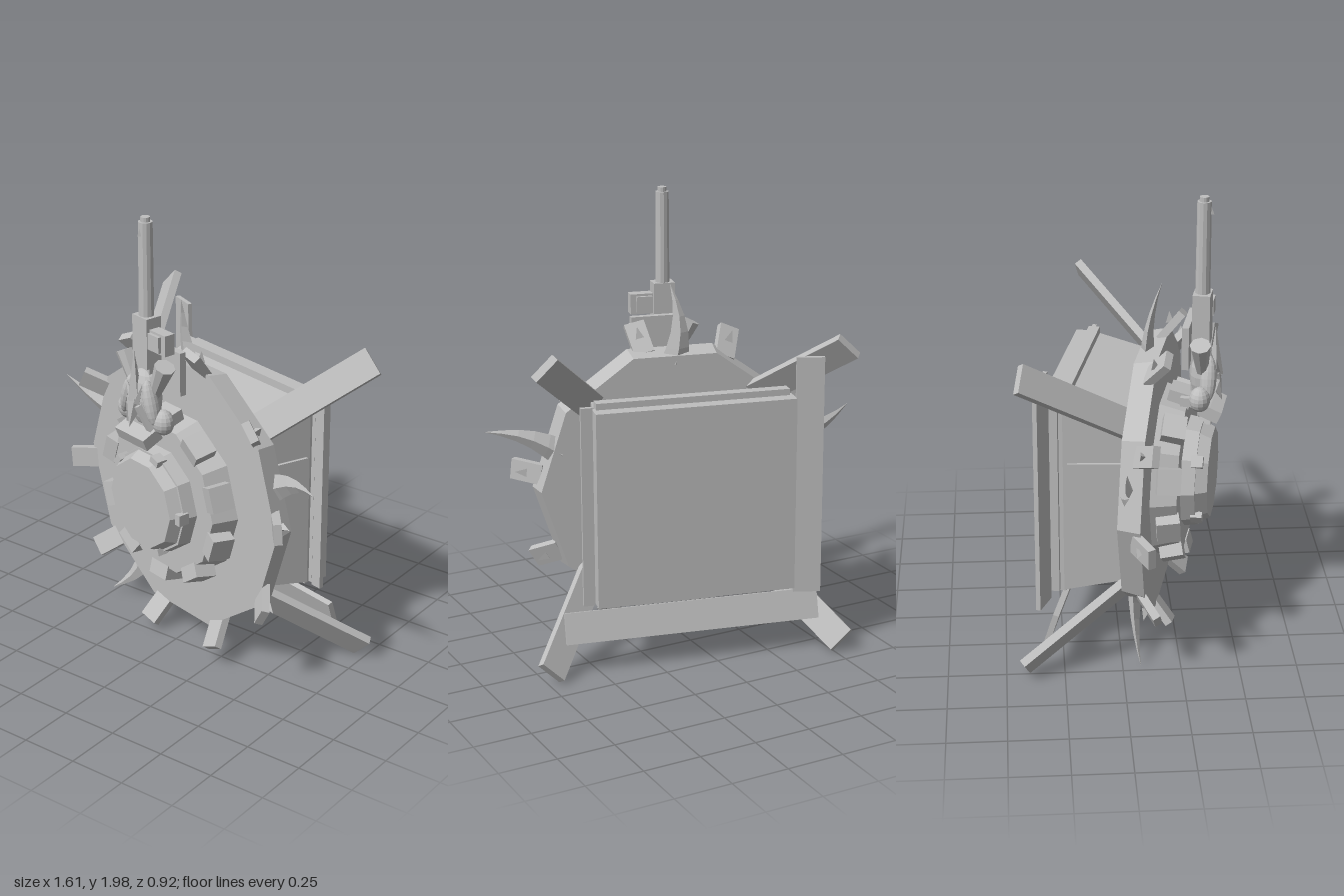
import * as THREE from 'three';

const grey = new THREE.MeshStandardMaterial({ color: 0xbebebe, flatShading: true });
grey.name = 'plainGrey';

function add(parent, name, geometry, x = 0, y = 0, z = 0, rx = 0, ry = 0, rz = 0) {
  const m = new THREE.Mesh(geometry, grey);
  m.name = name;
  m.position.set(x, y, z);
  m.rotation.set(rx, ry, rz);
  parent.add(m);
  return m;
}
const box = (w, h, d) => new THREE.BoxGeometry(w, h, d);

// Ten-sided drum lying along z, from z0 (radius r0) to z1 (radius r1)
function drum(r0, r1, z0, z1, sides = 10) {
  return new THREE.CylinderGeometry(r1, r0, z1 - z0, sides)
    .rotateY(Math.PI / sides).rotateX(Math.PI / 2).translate(0, 0, (z0 + z1) / 2);
}

// Frame at an angle around the disc; +x points outward
function spoke(parent, name, degrees) {
  const g = new THREE.Group();
  g.name = name;
  g.rotation.z = THREE.MathUtils.degToRad(degrees);
  parent.add(g);
  return g;
}

// Four-sided spike along x, curving towards +z at its tip
function spikeGeometry() {
  const g = new THREE.ConeGeometry(0.065, 0.34, 4, 5).rotateZ(-Math.PI / 2).scale(1, 1, 0.5);
  const p = g.attributes.position;
  for (let i = 0; i < p.count; i++) {
    const t = (p.getX(i) + 0.17) / 0.34;
    p.setZ(i, p.getZ(i) + 0.06 * t * t);
    p.setY(i, p.getY(i) + 0.03 * Math.sin(t * Math.PI));
  }
  return g.translate(0.7, 0, 0.13);
}

// Flat bar whose length runs from a to b and whose width lies across the diagonal
function diagonalBar(parent, sx, sy) {
  const a = new THREE.Vector3(sx * 0.36, sy * 0.36, 0.13);
  const b = new THREE.Vector3(sx * 0.65, sy * 0.67, -0.29);
  const along = b.clone().sub(a);
  const length = along.length();
  along.normalize();
  const across = new THREE.Vector3(-sy, sx, 0).normalize();
  across.addScaledVector(along, -across.dot(along)).normalize();
  const m = add(parent, 'diagonalBar', box(length, 0.125, 0.035));
  m.quaternion.setFromRotationMatrix(new THREE.Matrix4().makeBasis(
    along, across, new THREE.Vector3().crossVectors(along, across)));
  m.position.copy(a).add(b).multiplyScalar(0.5);
}

function buildDisc(g) {
  add(g, 'disc', drum(0.6, 0.62, 0.1, 0.2));
  add(g, 'raisedRing', drum(0.38, 0.345, 0.2, 0.31));
  add(g, 'hubStep', drum(0.245, 0.235, 0.31, 0.37));
  add(g, 'hubCap', drum(0.225, 0.2, 0.37, 0.42));
  for (let k = 0; k < 10; k++) {
    const clip = spoke(g, 'ringClip', 18 + 36 * k);
    add(clip, 'clip', box(0.065, 0.11, 0.1), 0.36, 0, 0.275, 0, -0.25);
    const hub = spoke(g, 'hubTab', 36 * k);
    if (k % 2 === 0) add(hub, 'tab', box(0.03, 0.05, 0.05), 0.225, 0, 0.375);
    // Teeth lean outward and forward around the rim
    const tooth = spoke(g, 'rimTooth', 6 + 36 * k);
    add(tooth, 'tooth', box(0.15, 0.09, 0.035), 0.64, 0, 0.215, 0, -0.67);
    add(tooth, 'toothKnob', new THREE.ConeGeometry(0.022, 0.05, 3), 0.675, 0, 0.2, 0, 0, -Math.PI / 2);
  }
  for (const a of [18, 90, 162, 234]) add(spoke(g, 'rimSpike', a), 'spike', spikeGeometry());
}

function buildHousing(g) {
  const q = Math.SQRT2;
  add(g, 'housing', drum(0.425 * q, 0.375 * q, -0.16, 0.12, 4), 0, 0.02);
  add(g, 'housingStep', box(0.83, 0.87, 0.04), 0, 0.02, -0.175);
  add(g, 'backSlab', box(0.87, 0.86, 0.085), 0, 0.02, -0.222);
  add(g, 'topPlate', box(0.84, 0.035, 0.05), 0, 0.46, -0.18);
  for (const s of [-1, 1]) {
    add(g, 'sidePanel', box(0.03, 0.36, 0.23), s * 0.4, 0.02, -0.03, 0, s * -0.18);
    for (const t of [-1, 1]) diagonalBar(g, s, t);
  }
  // Edge strips standing off the box
  add(g, 'bottomStrip', box(1.13, 0.135, 0.025), 0, -0.52, -0.19, 0.3);
  add(g, 'rightStrip', box(0.12, 1.06, 0.02), -0.5, 0.09, -0.235, 0, -0.2);
  add(g, 'leftStrip', box(0.05, 0.88, 0.02), 0.46, 0.02, -0.19);
}

function buildTurret(g) {
  const cyl = (r0, r1, h, n = 12) => new THREE.CylinderGeometry(r1, r0, h, n);
  const blob = (sx, sy, sz) => new THREE.SphereGeometry(1, 14, 10).scale(sx, sy, sz);
  // Gun
  add(g, 'barrel', cyl(0.032, 0.03, 0.42), 0, 1.77, 0);
  add(g, 'muzzle', cyl(0.02, 0.02, 0.06), 0, 1.97, 0);
  add(g, 'frontSight', new THREE.ConeGeometry(0.012, 0.03, 3), 0, 1.94, 0.03);
  add(g, 'receiver', box(0.095, 0.22, 0.075), 0, 1.47, 0.0);
  add(g, 'magazine', box(0.1, 0.09, 0.05), 0.1, 1.49, 0.0);
  add(g, 'magazineRim', box(0.07, 0.07, 0.08), 0.09, 1.49, 0.0);
  add(g, 'gunStock', box(0.08, 0.25, 0.06), 0, 1.27, -0.01);
  add(g, 'backPlate', box(0.24, 0.19, 0.03), 0.04, 1.35, -0.06);
  // Mount with crest, arms and joints
  add(g, 'body', blob(0.085, 0.13, 0.06), 0, 1.22, 0.01);
  add(g, 'crest', new THREE.ConeGeometry(0.035, 0.22, 5), -0.01, 1.33, 0.06);
  add(g, 'snout', new THREE.ConeGeometry(0.045, 0.13, 5), -0.01, 1.16, 0.07, Math.PI - 0.35);
  for (const s of [-1, 1]) {
    add(g, 'upperArm', cyl(0.025, 0.045, 0.16, 8), s * 0.095, 1.32, 0.01, 0, 0, s * -0.45);
    add(g, 'forearm', blob(0.03, 0.1, 0.035), s * 0.075, 1.22, 0.04, 0, 0, s * 0.3);
    add(g, 'elbow', blob(0.05, 0.055, 0.045), s * 0.115, 1.14, 0.01);
    add(g, 'eyeRidge', new THREE.ConeGeometry(0.018, 0.1, 4), s * 0.035, 1.26, 0.07, 0, 0, s * -0.4);
    add(g, 'brace', box(0.025, 0.14, 0.03), s * 0.05, 1.14, 0.05, 0.3, 0, s * 0.35);
  }
  add(g, 'basePlate', box(0.19, 0.055, 0.09), 0, 1.065, 0.05, 0.4);
  add(g, 'baseFoot', box(0.14, 0.04, 0.12), 0, 1.1, -0.02);
}

export function createModel() {
  const model = new THREE.Group();
  model.name = 'shieldGenerator';
  const device = new THREE.Group();
  device.name = 'device';
  device.position.set(0.039, 0.74, 0.009);
  device.rotation.y = -0.23;
  buildDisc(device);
  buildHousing(device);
  const turret = new THREE.Group();
  turret.name = 'turret';
  turret.position.set(-0.055, 0, 0.36);
  turret.rotation.y = -0.23;
  buildTurret(turret);
  model.add(device, turret);
  return model;
}
